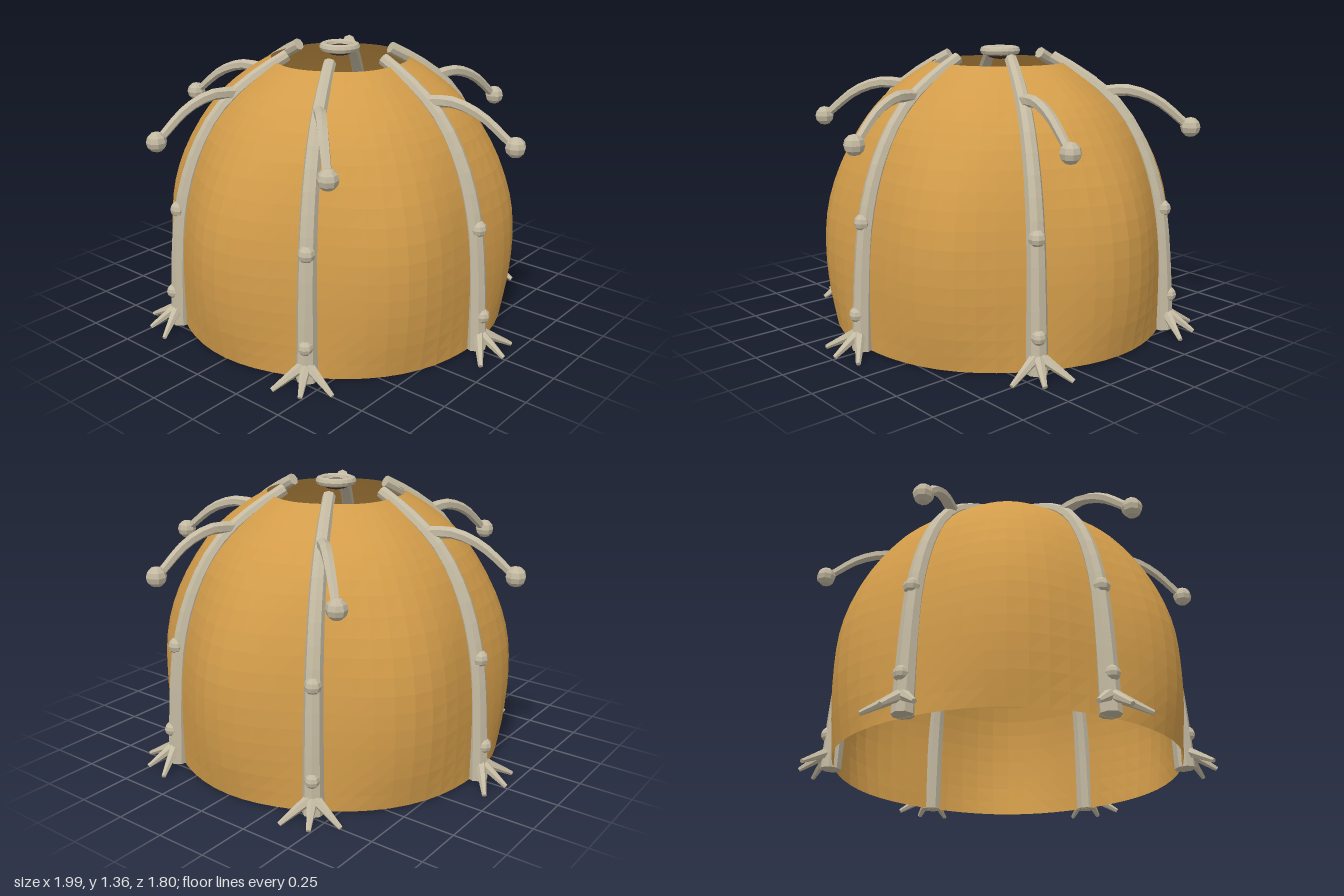
import * as THREE from 'three';

const amber = new THREE.MeshStandardMaterial({ color: 0xd29c4a, flatShading: true, side: THREE.DoubleSide });
amber.name = 'amber shell';
const bone = new THREE.MeshStandardMaterial({ color: 0xc4baa2, flatShading: true });
bone.name = 'pale bone';
const maroon = new THREE.MeshStandardMaterial({ color: 0x4a3236, flatShading: true });
maroon.name = 'dark maroon';

const V = (x, y, z = 0) => new THREE.Vector3(x, y, z);

function add(parent, name, geometry, material, position) {
  const mesh = new THREE.Mesh(geometry, material);
  mesh.name = name;
  if (position) mesh.position.copy(position);
  parent.add(mesh);
  return mesh;
}

// Capped tube along a curve, tapering from r0 to r1
function limb(points, r0, r1, steps, sides = 8) {
  const curve = new THREE.CatmullRomCurve3(points);
  const geo = new THREE.CylinderGeometry(1, 1, 1, sides, steps);
  const pos = geo.attributes.position;
  for (let i = 0; i < pos.count; i++) {
    const t = THREE.MathUtils.clamp(pos.getY(i) + 0.5, 0, 1);
    const tangent = curve.getTangentAt(t);
    const side = V(0, 0, 1).addScaledVector(tangent, -tangent.z).normalize();
    const up = side.clone().cross(tangent);
    const r = THREE.MathUtils.lerp(r0, r1, t);
    const p = curve.getPointAt(t)
      .addScaledVector(side, pos.getX(i) * r)
      .addScaledVector(up, pos.getZ(i) * r);
    pos.setXYZ(i, p.x, p.y, p.z);
  }
  geo.computeVertexNormals();
  return geo;
}

// Open six-lobed shell, blended between a valley profile and a lobe profile
function shellGeometry() {
  const heights = [0.01, 0.2, 0.4, 0.6, 0.8, 1.0, 1.12, 1.22, 1.29];
  const valleyR = [0.82, 0.82, 0.815, 0.79, 0.74, 0.65, 0.55, 0.43, 0.325];
  const lobeR = [0.83, 0.862, 0.873, 0.855, 0.79, 0.675, 0.575, 0.45, 0.335];
  const profile = (radii) => new THREE.CatmullRomCurve3(heights.map((y, i) => V(radii[i], y)));
  const valley = profile(valleyR);
  const lobe = profile(lobeR);
  const around = 60, rows = 20;
  const verts = [], index = [];
  for (let j = 0; j <= rows; j++) {
    const a = valley.getPoint(j / rows), b = lobe.getPoint(j / rows);
    for (let i = 0; i < around; i++) {
      const angle = (i / around) * Math.PI * 2;
      const p = a.clone().lerp(b, (1 - Math.cos(6 * angle)) / 2);
      verts.push(p.x * Math.cos(angle), p.y, -p.x * Math.sin(angle));
      if (j < rows) {
        const n = (i + 1) % around, k = j * around;
        index.push(k + i, k + n, k + around + n, k + i, k + around + n, k + around + i);
      }
    }
  }
  const geo = new THREE.BufferGeometry();
  geo.setAttribute('position', new THREE.Float32BufferAttribute(verts, 3));
  geo.setIndex(index);
  geo.computeVertexNormals();
  return geo;
}

export function createModel() {
  const model = new THREE.Group();
  model.name = 'ribbedDome';
  add(model, 'shell', shellGeometry(), amber);

  // Shared rib parts, laid out along +x
  const rib = limb([
    V(0.84, 0.012), V(0.832, 0.2), V(0.82, 0.4), V(0.795, 0.62), V(0.725, 0.86),
    V(0.62, 1.05), V(0.525, 1.15), V(0.4, 1.24), V(0.265, 1.315),
  ], 0.05, 0.03, 16);
  const branch = limb([
    V(0.52, 1.155), V(0.63, 1.165, -0.03), V(0.76, 1.12, -0.065), V(0.915, 0.99, -0.112),
  ], 0.03, 0.02, 8, 6);
  const toes = [V(0.95, 0.01, 0.135), V(0.99, 0.01), V(0.95, 0.01, -0.135)]
    .map((tip) => limb([V(0.85, 0.1), tip], 0.028, 0.011, 1, 6));
  const ball = new THREE.SphereGeometry(0.048, 8, 6);
  const knob = new THREE.SphereGeometry(0.04, 8, 6);

  for (let i = 0; i < 6; i++) {
    const arm = new THREE.Group();
    arm.name = 'ribAssembly';
    arm.rotation.y = (i * Math.PI) / 3;
    add(arm, 'rib', rib, bone);
    add(arm, 'branch', branch, bone);
    add(arm, 'branchBall', ball, bone, V(0.92, 0.99, -0.113));
    add(arm, 'upperKnob', knob, bone, V(0.82, 0.61));
    add(arm, 'lowerKnob', knob, bone, V(0.865, 0.185)).scale.setScalar(0.9);
    for (const toe of toes) add(arm, 'toe', toe, bone);
    model.add(arm);
  }

  // Floating crown ring with its dark core
  const ring = add(model, 'crownRing', new THREE.TorusGeometry(0.078, 0.021, 8, 20), bone, V(0, 1.339, 0));
  ring.rotation.x = Math.PI / 2;
  add(model, 'crownCore', new THREE.SphereGeometry(0.068, 16, 8), maroon, V(0, 1.323, 0)).scale.y = 0.38;
  return model;
}
